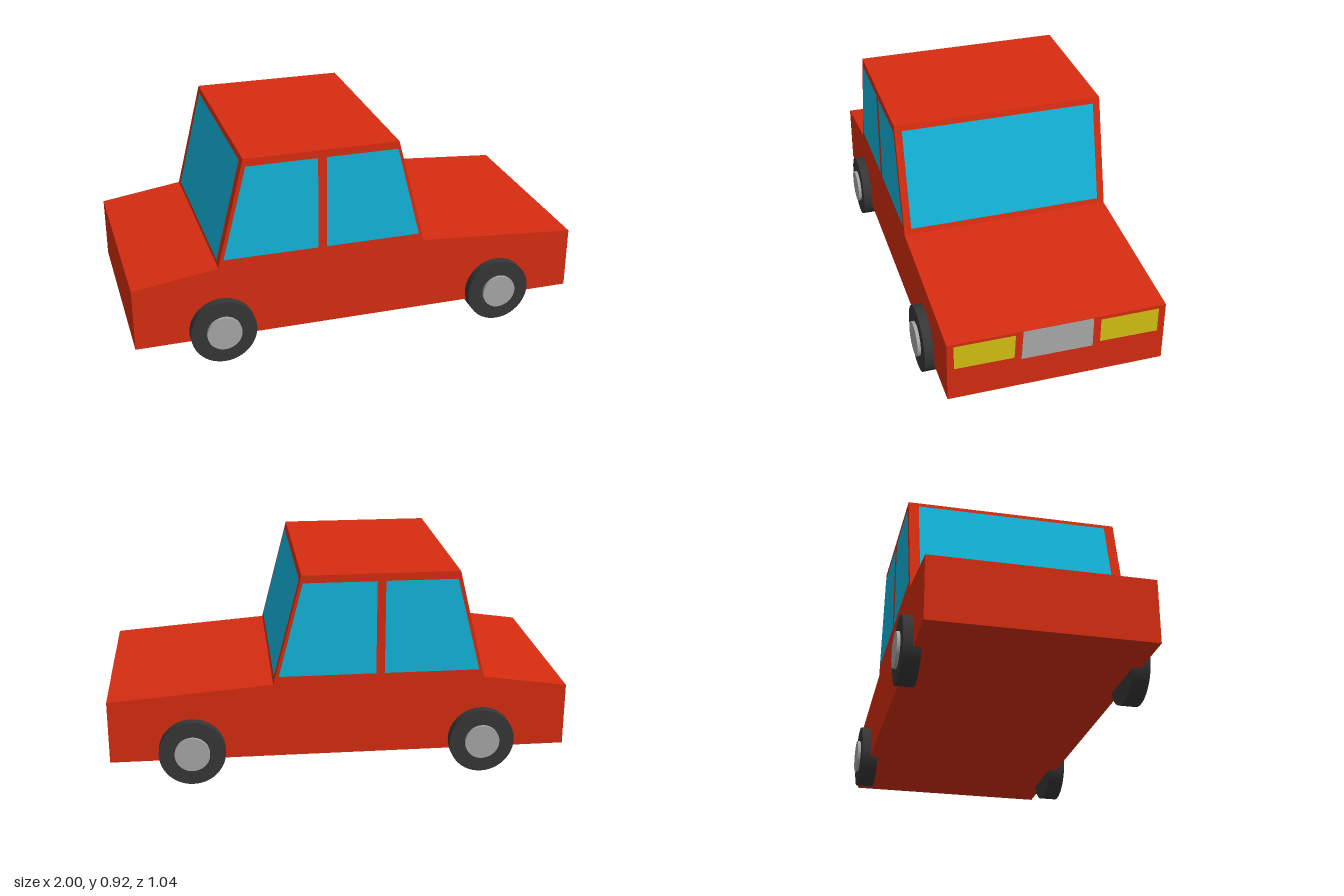
import * as THREE from 'three';

const paint = (color, side = THREE.FrontSide) =>
  new THREE.MeshStandardMaterial({ color, side, flatShading: side === THREE.DoubleSide });

const HALF_WIDTH = 0.467;
const GAP = 0.002; // lift of thin panels off the bodywork

export function createModel() {
  const car = new THREE.Group();
  car.name = 'car';
  const red = paint(0xd62c10);
  const glass = paint(0x12b4da, THREE.DoubleSide);
  const yellow = paint(0xd4c010, THREE.DoubleSide);
  const grilleGrey = paint(0xaaaaaa, THREE.DoubleSide);
  const rubber = paint(0x363636);
  const hubGrey = paint(0xa6a6a6);

  const add = (parent, name, geometry, material) => {
    const mesh = new THREE.Mesh(geometry, material);
    mesh.name = name;
    parent.add(mesh);
    return mesh;
  };

  // Flat four-cornered panel, corners counter-clockwise from outside
  const panel = (name, corners, material) => {
    const geometry = new THREE.BufferGeometry();
    geometry.setAttribute('position', new THREE.Float32BufferAttribute(corners.flat(), 3));
    geometry.setIndex([0, 1, 2, 0, 2, 3]);
    geometry.computeVertexNormals();
    return add(car, name, geometry, material);
  };

  // Bodywork: side silhouette extruded across the width
  const profile = [
    [-1, 0.1], [1, 0.1], [1, 0.378], [0.29, 0.432],
    [0.165, 0.915], [-0.51, 0.915], [-0.63, 0.432], [-1, 0.378],
  ].map(([x, y]) => new THREE.Vector2(x, y));
  const body = new THREE.ExtrudeGeometry(new THREE.Shape(profile), {
    depth: 2 * HALF_WIDTH, bevelEnabled: false,
  });
  body.translate(0, 0, -HALF_WIDTH);
  add(car, 'body', body, red);

  // Side windows, mirrored left and right
  const sideWindows = {
    frontDoorWindow: [[-0.155, 0.468], [0.266, 0.468], [0.16, 0.882], [-0.155, 0.882]],
    rearDoorWindow: [[-0.607, 0.468], [-0.192, 0.468], [-0.192, 0.882], [-0.5, 0.882]],
  };
  for (const [name, outline] of Object.entries(sideWindows)) {
    for (const side of [1, -1]) {
      const corners = outline.map(([x, y]) => [x, y, side * (HALF_WIDTH + GAP)]);
      panel(name, side > 0 ? corners : corners.reverse(), glass);
    }
  }

  // Windscreen and rear window lie on the sloping pillars
  const slope = (y, bottomX, topX) =>
    bottomX + (topX - bottomX) * (y - 0.432) / (0.915 - 0.432);
  const endWindow = (name, bottomX, topX, y0, y1, z) => {
    const dir = Math.sign(bottomX);
    const x0 = slope(y0, bottomX, topX) + dir * GAP;
    const x1 = slope(y1, bottomX, topX) + dir * GAP;
    panel(name, [[x0, y0, dir * z], [x0, y0, -dir * z], [x1, y1, -dir * z], [x1, y1, dir * z]], glass);
  };
  endWindow('windscreen', 0.29, 0.165, 0.458, 0.89, 0.435);
  endWindow('rearWindow', -0.63, -0.51, 0.45, 0.895, 0.423);

  // Headlights and grille on the nose, outlines given as [z, y]
  const nosePanel = (name, outline, material) =>
    panel(name, outline.map(([z, y]) => [1 + GAP / 2, y, z]), material);
  nosePanel('leftHeadlight', [[0.438, 0.253], [0.185, 0.251], [0.18, 0.365], [0.438, 0.366]], yellow);
  nosePanel('rightHeadlight', [[-0.184, 0.25], [-0.437, 0.248], [-0.437, 0.363], [-0.184, 0.363]], yellow);
  nosePanel('grille', [[0.155, 0.237], [-0.152, 0.235], [-0.152, 0.377], [0.148, 0.377]], grilleGrey);

  // Wheels: tyre with a raised hub cap
  for (const x of [-0.623, 0.645]) {
    for (const side of [1, -1]) {
      const wheel = new THREE.Group();
      wheel.name = x > 0 ? 'frontWheel' : 'rearWheel';
      const disc = (name, radius, inner, outer, material) => {
        const geometry = new THREE.CylinderGeometry(radius, radius, outer - inner, 48);
        geometry.rotateX(Math.PI / 2);
        geometry.translate(0, 0, side * (inner + outer) / 2);
        add(wheel, name, geometry, material);
      };
      disc('tyre', 0.144, 0.432, 0.508, rubber);
      disc('hubCap', 0.076, 0.47, 0.522, hubGrey);
      wheel.position.set(x, 0.144, 0);
      car.add(wheel);
    }
  }
  return car;
}
